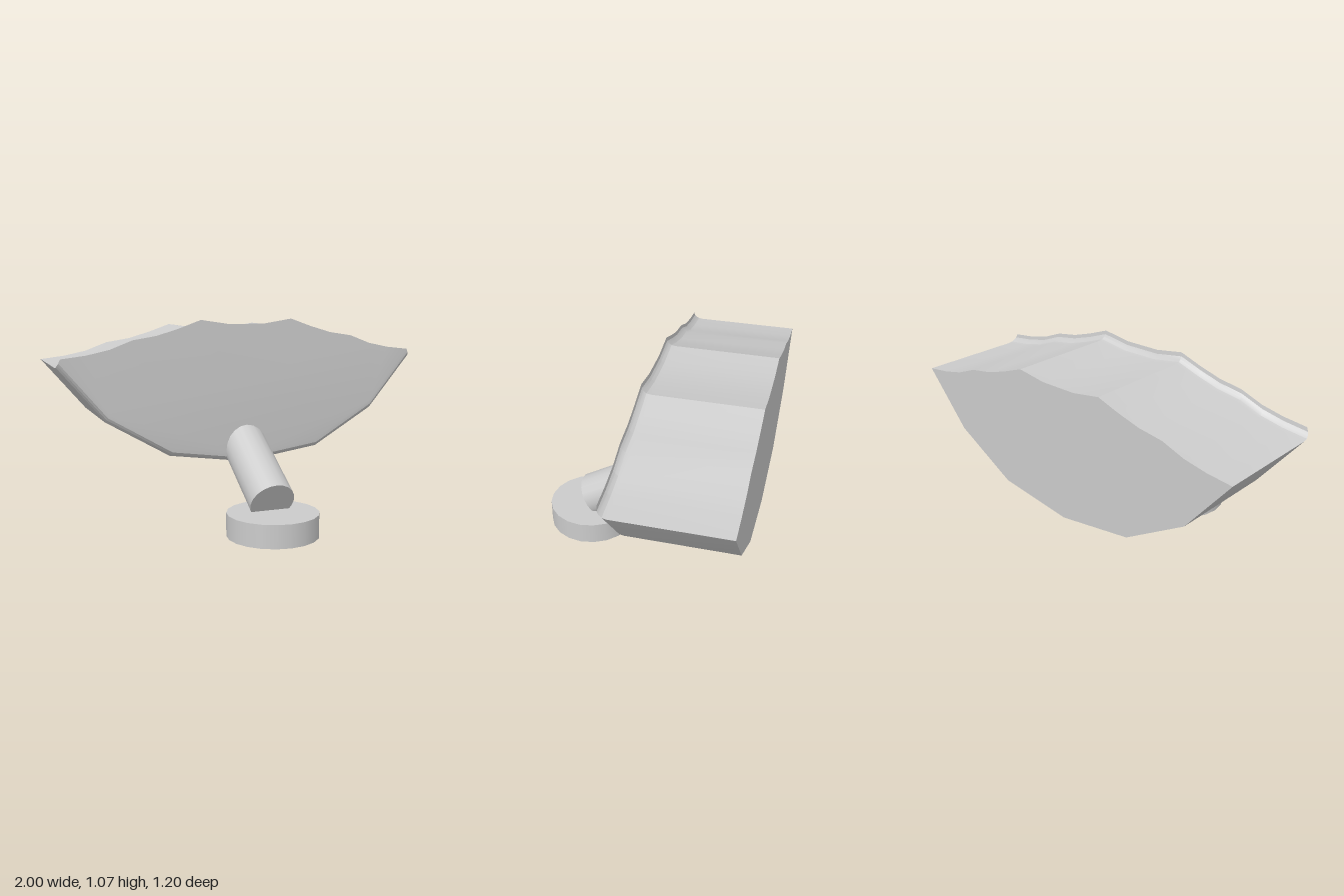
import * as THREE from 'three';
import { toCreasedNormals } from 'three/addons/utils/BufferGeometryUtils.js';

const material = new THREE.MeshStandardMaterial({ color: 0xcccccc });

function addMesh(group, geometry, name) {
  const mesh = new THREE.Mesh(geometry, material);
  mesh.name = name;
  group.add(mesh);
  return mesh;
}

// Fan-shaped body: faceted bowl below, scalloped edge above
function createBody() {
  const lower = [[0, 0.3], [0.42, 0.36], [0.76, 0.56], [1, 0.845]];
  const upper = [[0.87, 0.86], [0.75, 0.885], [0.63, 0.93], [0.5, 0.95], [0.38, 0.985], [0.26, 1.027], [0.1, 1.003]];
  const half = [...lower, ...upper];
  const mirrored = half.slice(1).reverse().map(([x, y]) => [-x, y]);
  const outline = [...half, ...mirrored].map(([x, y]) => new THREE.Vector2(x, y));

  // Straight from the back, then a rounded lip that sweeps upward at the front
  const levels = [
    { z: -0.6, lift: 0 },
    { z: -0.05, lift: 0 },
    { z: -0.03, lift: 0.004 },
    { z: -0.015, lift: 0.014 },
    { z: -0.006, lift: 0.026 },
    { z: -0.003, lift: 0.046 },
  ];
  const steps = levels.length - 1;
  const geometry = new THREE.ExtrudeGeometry(new THREE.Shape(outline), {
    depth: steps, steps, bevelEnabled: false,
  });
  const p = geometry.attributes.position;
  for (let i = 0; i < p.count; i++) {
    const { z, lift } = levels[Math.round(p.getZ(i))];
    p.setXYZ(i, p.getX(i) * (1 - lift * 0.45), p.getY(i) + lift, z);
  }
  geometry.computeVertexNormals();
  return toCreasedNormals(geometry, 0.35);
}

export function createModel() {
  const model = new THREE.Group();
  model.name = 'fanOnStand';

  addMesh(model, createBody(), 'fanBody');

  // Round foot
  const foot = addMesh(model, new THREE.CylinderGeometry(0.236, 0.236, 0.12, 20), 'foot');
  foot.position.set(0, 0.06, 0.363);

  // Slanted arm rising backward from the foot into the body
  const length = 0.7;
  const armGeometry = new THREE.CylinderGeometry(0.118, 0.118, length, 20);
  armGeometry.translate(0, length / 2, 0);
  const arm = addMesh(model, armGeometry, 'arm');
  arm.position.set(0, 0.166, 0.355);
  arm.rotation.x = -Math.PI / 3;

  return model;
}
